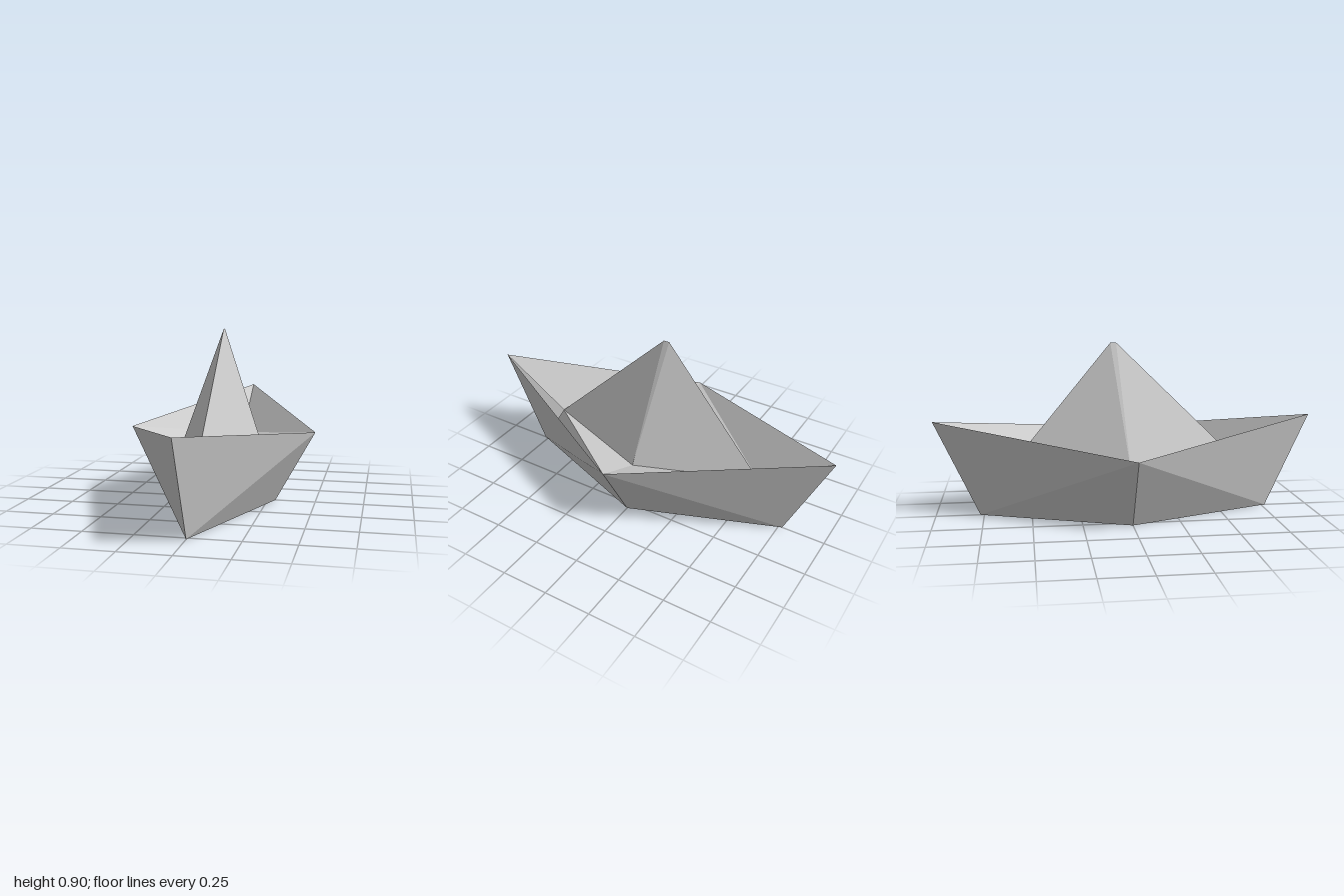
import * as THREE from 'three';

const material = new THREE.MeshStandardMaterial({ color: 0xcccccc, flatShading: true, side: THREE.DoubleSide });

// A sheet of paper folded from convex polygons, each split as a fan from its first corner
function sheet(name, polygons) {
  const points = [];
  for (const p of polygons) {
    for (let i = 1; i < p.length - 1; i++) points.push(...p[0], ...p[i], ...p[i + 1]);
  }
  const geometry = new THREE.BufferGeometry();
  geometry.setAttribute('position', new THREE.Float32BufferAttribute(points, 3));
  geometry.computeVertexNormals();
  const mesh = new THREE.Mesh(geometry, material);
  mesh.name = name;
  return mesh;
}

// Corners of one quarter of the boat: sx picks the left or right side, sz the bow or stern
const corners = (sx, sz) => ({
  rimSide: [0.495 * sx, 0.37, 0],
  rimEnd: [0, 0.5, sz],
  keelSide: [0.29 * sx, 0, 0],
  keelEnd: [0, 0, 0.77 * sz],
  sailSide: [0.23 * sx, 0.25, 0],
  sailEnd: [0, 0.25, 0.615 * sz],
  peak: [0, 0.897, sz > 0 ? -0.05 : -0.08],
});

export function createModel() {
  const boat = new THREE.Group();
  boat.name = 'paperBoat';

  for (const sx of [1, -1]) {
    for (const sz of [1, -1]) {
      const c = corners(sx, sz);
      const label = (sx > 0 ? 'left' : 'right') + (sz > 0 ? 'Bow' : 'Stern');
      const turn = (p) => (sx * sz > 0 ? p : [...p].reverse());

      // Outer wall, creased from the rim corner to the keel tip
      boat.add(sheet(label + 'Hull', [
        turn([c.rimSide, c.rimEnd, c.keelEnd]),
        turn([c.rimSide, c.keelEnd, c.keelSide]),
      ].map((p) => p.reverse())));

      // Inner fold between hull and sail; the left bow one is tucked down to the keel
      const outer = sx > 0 && sz > 0 ? c.keelEnd : c.rimEnd;
      boat.add(sheet(label + 'InnerFold', [
        turn([c.rimSide, c.sailEnd, outer].reverse()),
        turn([c.rimSide, c.sailSide, c.sailEnd].reverse()),
      ]));

      // Sloping sail panel
      boat.add(sheet(label + 'Sail', [turn([c.sailSide, c.peak, c.sailEnd])]));
    }
  }

  const [lb, rb, ls] = [corners(1, 1), corners(-1, 1), corners(1, -1)];

  // Narrow folds joining the two halves of the sail
  boat.add(sheet('sailFold', [
    [lb.sailSide, ls.peak, lb.peak],
    [rb.sailSide, lb.peak, ls.peak],
  ]));

  // Upright fold across the middle and the flat flap under the bow
  boat.add(sheet('crossFold', [[lb.peak, lb.sailSide, lb.keelSide, rb.keelSide, rb.sailSide]]));
  boat.add(sheet('bowFloor', [[lb.keelEnd, rb.keelSide, lb.keelSide]]));

  return boat;
}
